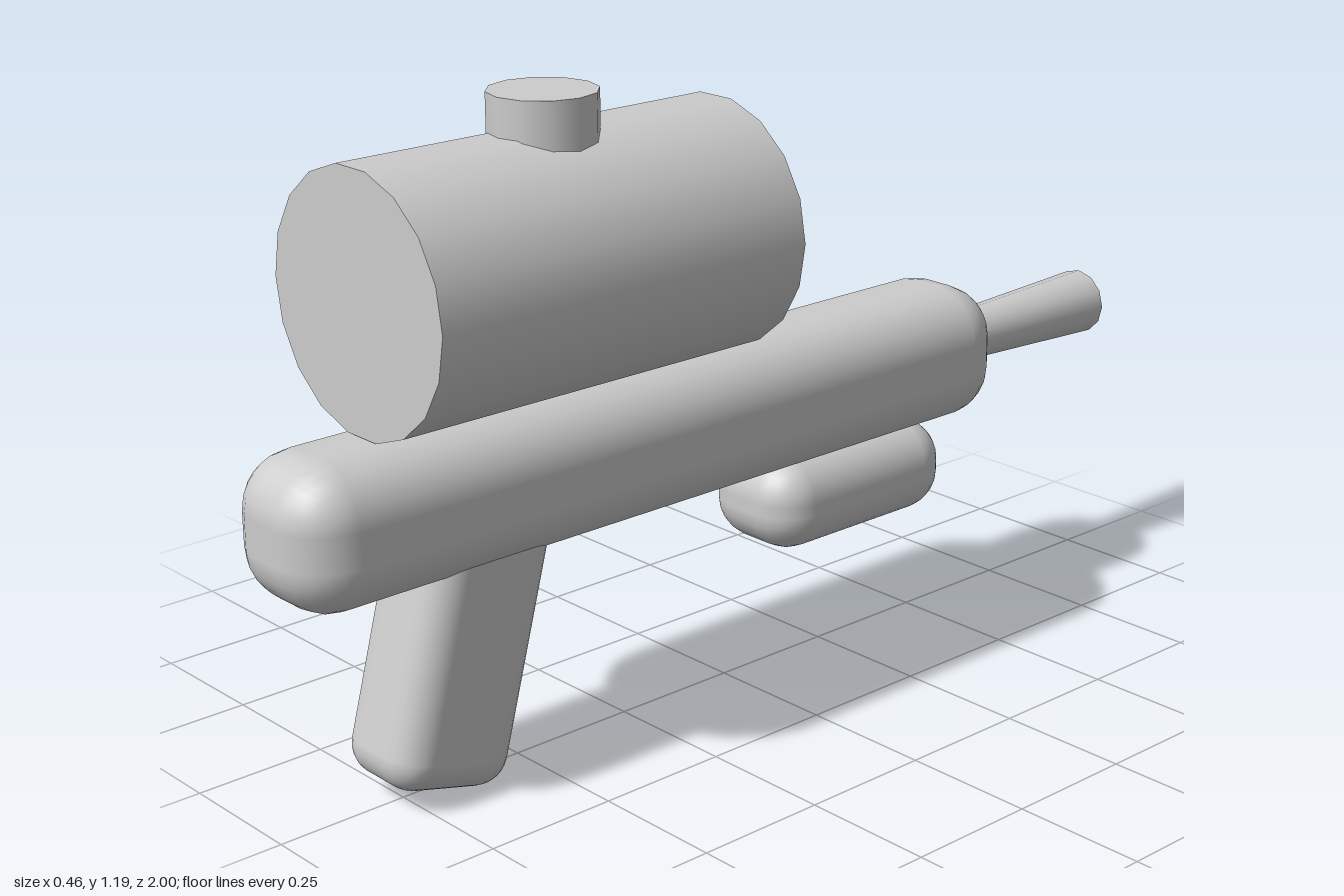
import * as THREE from 'three';
import { RoundedBoxGeometry } from 'three/addons/geometries/RoundedBoxGeometry.js';

export function createModel() {
  const model = new THREE.Group();
  const grey = new THREE.MeshStandardMaterial({ color: 0xcccccc });
  grey.name = 'light grey plastic';

  const add = (name, geometry, y, z, tilt = 0) => {
    const mesh = new THREE.Mesh(geometry, grey);
    mesh.name = name;
    mesh.position.set(0, y, z);
    mesh.rotation.x = tilt;
    model.add(mesh);
  };
  const roundedBox = (w, h, d, r) => new RoundedBoxGeometry(w, h, d, 3, r);

  // Long rounded body
  add('body', roundedBox(0.26, 0.262, 1.637, 0.1), 0.54, 0.1815);

  // Tilted handle, its top sunk into the body
  add('grip', roundedBox(0.194, 0.52, 0.252, 0.06), 0.275, 0.638, -Math.PI / 12);

  // Support under the muzzle end
  add('foregrip', roundedBox(0.23, 0.182, 0.455, 0.08), 0.335, -0.275);

  // Tank lying along the body, with its filler cap
  add('tank', new THREE.CylinderGeometry(0.23, 0.23, 0.782, 18, 1, false, Math.PI / 2),
    0.9, 0.411, Math.PI / 2);
  add('fillerCap', new THREE.CylinderGeometry(0.097, 0.097, 0.195, 12), 1.0975, 0.41);

  // Nozzle, flaring towards its tip at the back
  add('nozzle', new THREE.CylinderGeometry(0.065, 0.047, 0.44, 12), 0.54, -0.78, -Math.PI / 2);

  return model;
}
